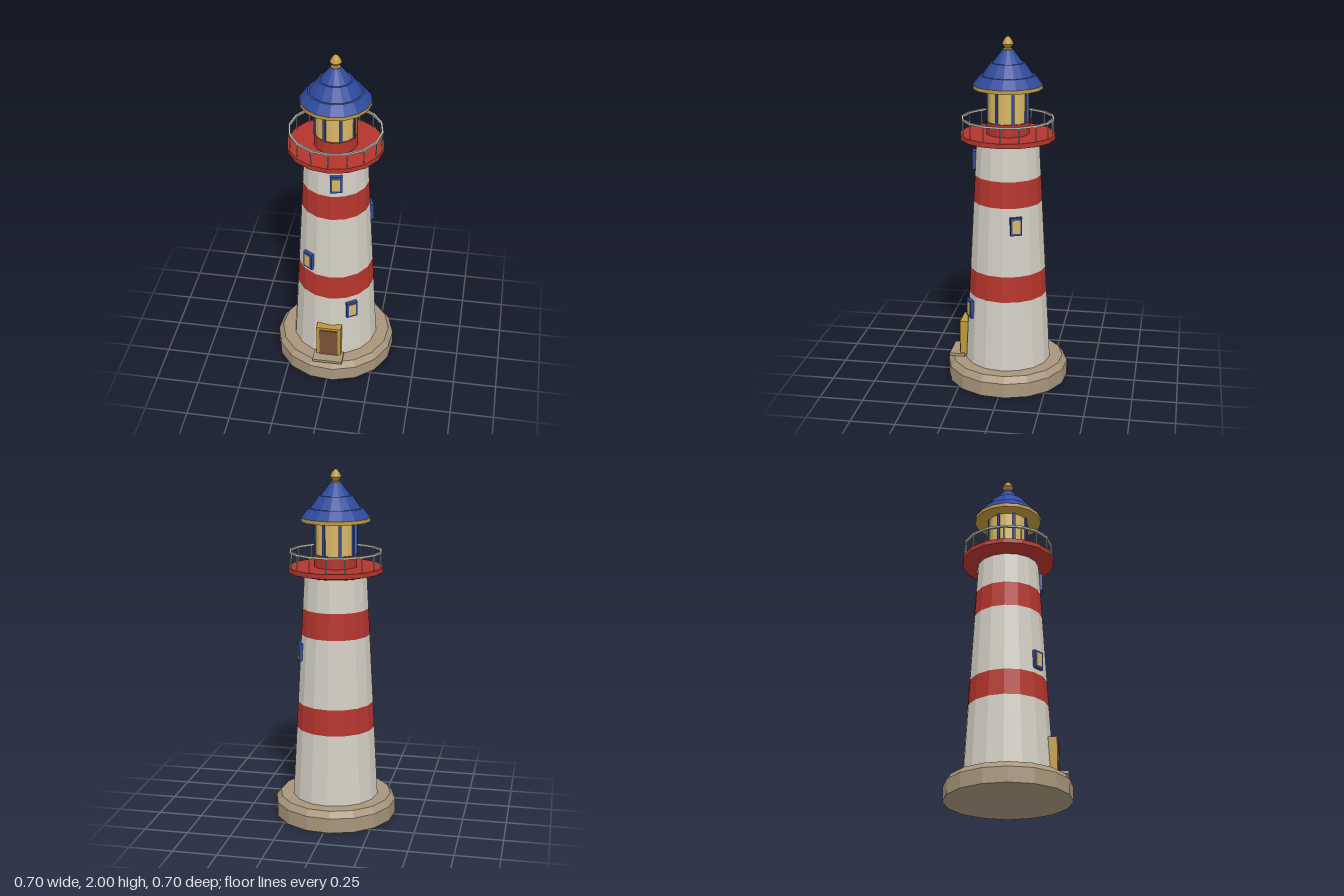
import * as THREE from 'three';

const SIDES = 16;
const mat = (name, color) => Object.assign(new THREE.MeshStandardMaterial({ color }), { name });

export function createModel() {
  const white = mat('white wall', 0xd4cfc4);
  const red = mat('red paint', 0xb5352d);
  const blue = mat('blue paint', 0x2f4a9c);
  const gold = mat('gold trim', 0xc1983c);
  const glass = mat('warm glass', 0xd8b664);
  const stone = mat('stone', 0xa8967c);
  const wood = mat('door wood', 0x7a5036);
  const metal = mat('rail metal', 0xb8b3a8);

  const root = new THREE.Group();
  root.name = 'lighthouse';

  // Faceted mesh helper
  const add = (name, geometry, material, parent = root) => {
    const flat = geometry.index ? geometry.toNonIndexed() : geometry;
    flat.computeVertexNormals();
    const mesh = new THREE.Mesh(flat, material);
    mesh.name = name;
    parent.add(mesh);
    return mesh;
  };
  const lathe = (name, pts, material, sides = SIDES) =>
    add(name, new THREE.LatheGeometry(pts.map(([r, y]) => new THREE.Vector2(r, y)), sides), material);
  const box = (name, w, h, d, x, y, z, material, parent) => {
    const mesh = add(name, new THREE.BoxGeometry(w, h, d), material, parent);
    mesh.position.set(x, y, z);
    return mesh;
  };

  // Stone base, turned slightly
  const base = lathe('stoneBase', [[0, 0], [0.35, 0], [0.35, 0.085], [0.322, 0.12], [0, 0.12]], stone);
  base.rotation.y = 0.1;

  // Tapering tower in white and red bands
  const wallRadius = (y) => 0.249 - ((y - 0.12) / 1.3) * 0.071;
  const levels = [0.12, 0.53, 0.68, 1.075, 1.225, 1.42];
  for (let i = 0; i < levels.length - 1; i++) {
    const [a, b] = [levels[i], levels[i + 1]];
    lathe(i % 2 ? 'redBand' : 'whiteWall', [[wallRadius(a), a], [wallRadius(b), b]], i % 2 ? red : white);
  }

  // Door with frame and step
  box('doorFrame', 0.145, 0.215, 0.06, 0, 0.2275, 0.242, gold);
  box('door', 0.108, 0.19, 0.06, 0, 0.224, 0.248, wood);
  box('doorStep', 0.175, 0.016, 0.09, 0, 0.128, 0.288, stone);

  // Windows around the tower: angle from the front, height
  for (const [angle, y] of [[0.56, 0.445], [-0.63, 0.76], [1.95, 0.975], [0.17, 1.31]]) {
    const win = new THREE.Group();
    win.name = 'window';
    win.rotation.y = angle;
    root.add(win);
    const r = wallRadius(y);
    box('windowFrame', 0.066, 0.104, 0.034, 0, y, r - 0.003, blue, win);
    box('windowPane', 0.043, 0.078, 0.034, 0, y, r, glass, win);
  }

  // Gallery slab with a sloping underside, and the drum under the lantern
  lathe('gallery', [[0.178, 1.41], [0.268, 1.433], [0.268, 1.46], [0, 1.46]], red);
  lathe('lanternDrum', [[0.122, 1.46], [0.122, 1.53], [0, 1.53]], red);

  // Railing
  const railing = new THREE.Group();
  railing.name = 'railing';
  root.add(railing);
  lathe('topRail', [[0.25, 1.539], [0.262, 1.539], [0.262, 1.551], [0.25, 1.551], [0.25, 1.539]], metal);
  for (let i = 0; i < SIDES; i++) {
    const t = (i / SIDES) * Math.PI * 2;
    const post = add('railPost', new THREE.CylinderGeometry(0.004, 0.004, 0.085, 6), metal, railing);
    post.position.set(Math.sin(t) * 0.255, 1.5, Math.cos(t) * 0.255);
  }

  // Lantern room with upright bars
  lathe('lanternGlass', [[0.115, 1.53], [0.115, 1.72]], glass);
  for (let i = 0; i < 8; i++) {
    const bar = new THREE.Group();
    bar.name = 'lanternBar';
    bar.rotation.y = ((i + 0.5) / 8) * Math.PI * 2;
    root.add(bar);
    box('bar', 0.015, 0.195, 0.015, 0, 1.622, 0.115, blue, bar);
  }

  // Eaves, stepped roof and finial
  lathe('eaves', [[0, 1.714], [0.196, 1.714], [0.196, 1.735], [0, 1.735]], gold);
  lathe('roof', [[0.195, 1.735], [0.153, 1.787], [0.142, 1.787], [0.095, 1.856], [0.085, 1.856], [0.028, 1.928], [0, 1.928]], blue);
  lathe('finial', [[0.026, 1.922], [0.026, 1.932], [0.016, 1.937], [0.033, 1.958], [0.024, 1.978], [0.009, 1.996], [0, 2]], gold, 12);

  return root;
}
